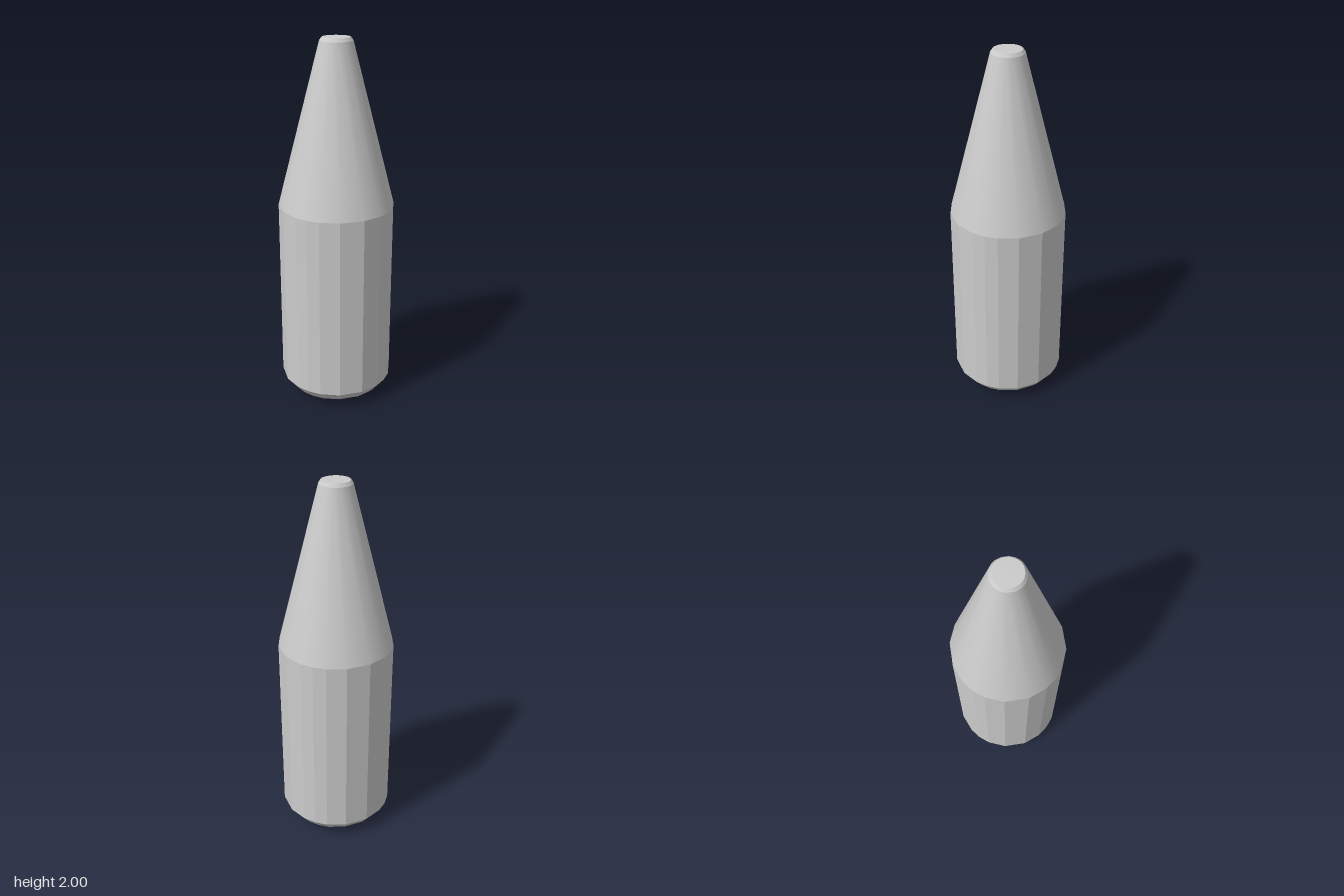
import * as THREE from 'three';
import { toCreasedNormals } from 'three/addons/utils/BufferGeometryUtils.js';

// Corner directions of the twenty-sided cross-section, per quarter turn
const QUARTER = [12, 32, 45, 58, 78];
const SIDES = QUARTER.length * 4;

// Lathe a profile of [radius, height], with corners moved to the uneven spacing
function turned(name, profile, crease) {
  const points = profile.map(([r, y]) => new THREE.Vector2(r, y));
  const geometry = new THREE.LatheGeometry(points, SIDES);
  const pos = geometry.attributes.position;
  for (let i = 0; i < pos.count; i++) {
    const side = Math.floor(i / points.length);
    const [r, y] = profile[i % points.length];
    const a = THREE.MathUtils.degToRad(QUARTER[side % 5] + 90 * Math.floor(side / 5));
    pos.setXYZ(i, r * Math.sin(a), y, r * Math.cos(a));
  }
  const material = new THREE.MeshStandardMaterial({ color: 0xcccccc });
  const mesh = new THREE.Mesh(toCreasedNormals(geometry, crease), material);
  mesh.name = name;
  return mesh;
}

export function createModel() {
  const group = new THREE.Group();
  group.name = 'bottle';

  // Faceted body with a rounded-off base
  group.add(turned('body', [[0, 0], [0.143, 0], [0.268, 0.04], [0.312, 0.095], [0.312, 1.115]], 0.15));

  // Smooth tapering neck
  group.add(turned('neck', [[0.312, 1.115], [0.087, 1.98]], 0.6));

  // Bevelled flat tip
  group.add(turned('tip', [[0.087, 1.98], [0.075, 1.997], [0, 2]], 0.4));

  return group;
}
